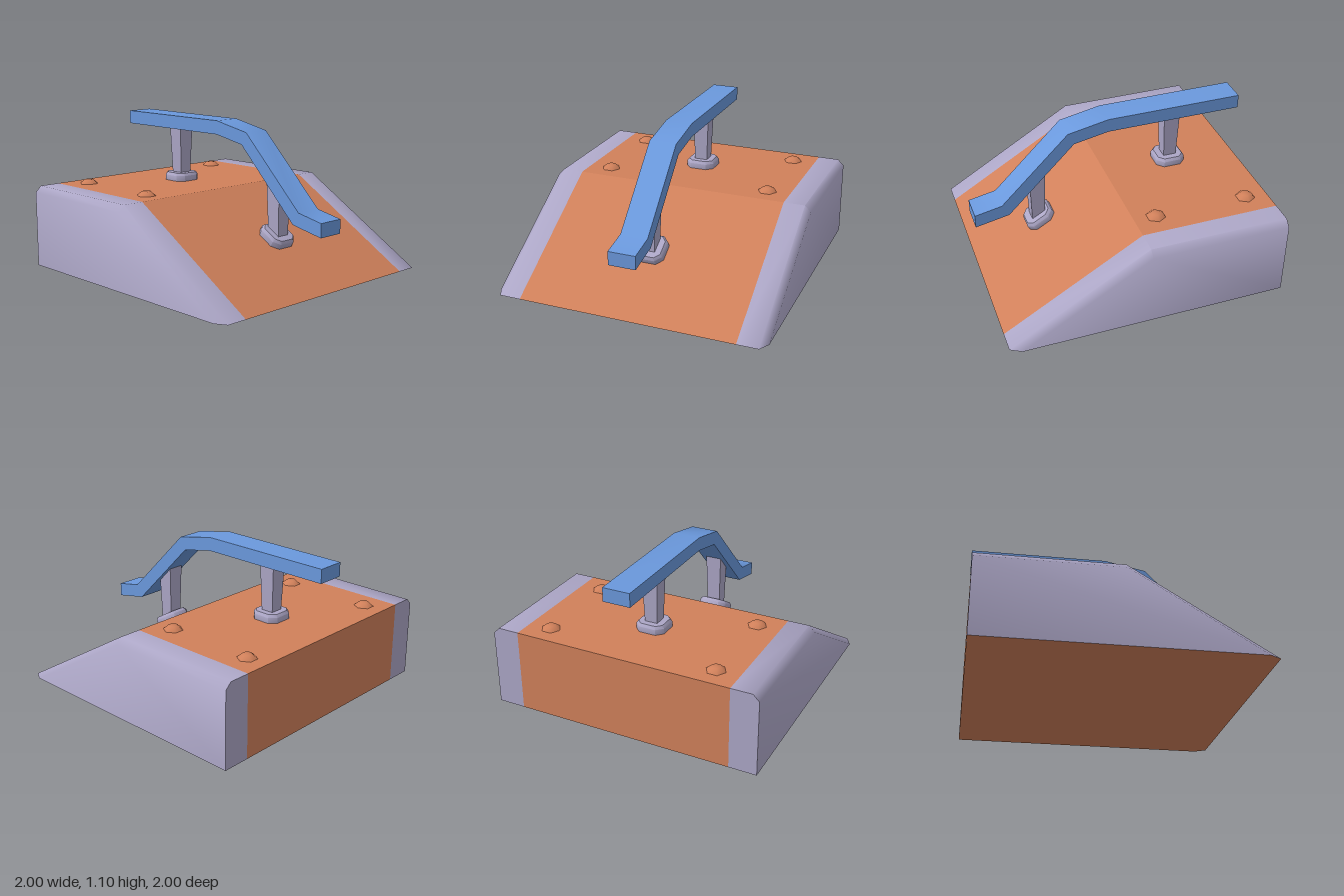
import * as THREE from 'three';
import { toCreasedNormals } from 'three/addons/utils/BufferGeometryUtils.js';

const orange = new THREE.MeshStandardMaterial({ color: 0xd0805a });
orange.name = 'orange';
const lilac = new THREE.MeshStandardMaterial({ color: 0xaca6c6 });
lilac.name = 'lilac grey';
const blue = new THREE.MeshStandardMaterial({ color: 0x6a98dc });
blue.name = 'rail blue';

function mesh(name, geometry, material) {
  const m = new THREE.Mesh(geometry, material);
  m.name = name;
  return m;
}

// Convex polygons, corners counter-clockwise from outside; flip mirrors them in x.
function polygons(list, flip = false) {
  const pos = [];
  for (const poly of list) {
    const p = flip ? poly.map(([x, y, z]) => [-x, y, z]).reverse() : poly;
    for (let i = 1; i < p.length - 1; i++) pos.push(...p[0], ...p[i], ...p[i + 1]);
  }
  const g = new THREE.BufferGeometry();
  g.setAttribute('position', new THREE.Float32BufferAttribute(pos, 3));
  g.computeVertexNormals();
  return g;
}

const H = 0.6;      // deck height
const P = 0.8;      // half width of the centre panel
const B = 0.955;    // inner edge of the side bevel
const HB = 0.555;   // lower edge of the side bevel
const ZB = 0.92;    // front end of the side wall

function createBase() {
  const base = new THREE.Group();
  base.name = 'rampBase';

  // Centre panel: deck, slope and back
  base.add(mesh('centrePanel', polygons([
    [[-P, H, 0], [P, H, 0], [P, H, -1], [-P, H, -1]],
    [[-P, 0, 1], [P, 0, 1], [P, H, 0], [-P, H, 0]],
    [[P, 0, -1], [-P, 0, -1], [-P, H, -1], [P, H, -1]],
  ]), orange));

  // Underside with clipped front corners
  base.add(mesh('underside', polygons([
    [[-1, 0, -1], [1, 0, -1], [1, 0, ZB], [B, 0, 1], [-B, 0, 1], [-1, 0, ZB]],
  ]), orange));

  // Side borders: top strips, back strip, then bevel and wall
  for (const s of [1, -1]) {
    const border = polygons([
      [[P, H, 0], [B, H, 0], [B, H, -1], [P, H, -1]],
      [[P, 0, 1], [B, 0, 1], [B, H, 0], [P, H, 0]],
      [[1, 0, -1], [P, 0, -1], [P, H, -1], [B, H, -1], [1, HB, -1]],
      [[B, H, 0], [1, HB, 0], [1, HB, -1], [B, H, -1]],
      [[B, 0, 1], [1, 0, ZB], [1, HB, 0], [B, H, 0]],
      [[1, 0, -1], [1, HB, -1], [1, HB, 0], [1, 0, ZB]],
    ], s < 0);
    base.add(mesh(s > 0 ? 'leftBorder' : 'rightBorder', toCreasedNormals(border, 0.87), lilac));
  }
  return base;
}

// Rail: side profile in (z, y), extruded across x
function createRail() {
  const profile = [
    [1, 0.5], [0.8, 0.54], [0.3, 1.04], [0, 1.1], [-1, 1.1],
    [-1, 1], [0, 1], [0.255, 0.95], [0.75, 0.45], [1, 0.4],
  ];
  const shape = new THREE.Shape(profile.map(([z, y]) => new THREE.Vector2(z, y)));
  const g = new THREE.ExtrudeGeometry(shape, { depth: 0.2, bevelEnabled: false });
  g.rotateY(-Math.PI / 2).translate(0.1, 0, 0);
  return mesh('rail', toCreasedNormals(g, 0.87), blue);
}

// Foot plate: clipped square with a bevelled rim, sunk slightly into the deck
function footGeometry() {
  const a = 0.093, c = 0.056;
  const corners = [[a, -c], [a, c], [c, a], [-c, a], [-a, c], [-a, -c], [-c, -a], [c, -a]];
  const shape = new THREE.Shape(corners.map(([x, y]) => new THREE.Vector2(x, y)));
  const g = new THREE.ExtrudeGeometry(shape, {
    depth: 0.05, bevelThickness: 0.02, bevelSize: 0.015, bevelSegments: 1,
  });
  g.rotateX(-Math.PI / 2).translate(0, -0.01, 0);
  return toCreasedNormals(g, 0.87);
}

// Square post, wider at the top
function createPost(name, z, bottom, top) {
  const g = new THREE.CylinderGeometry(0.06 * Math.SQRT2, 0.047 * Math.SQRT2, top - bottom, 4, 1, true);
  g.rotateY(Math.PI / 4).translate(0, (top + bottom) / 2, z);
  return mesh(name, toCreasedNormals(g, 0.5), lilac);
}

export function createModel() {
  const model = new THREE.Group();
  model.name = 'rampWithRail';
  model.add(createBase(), createRail());

  // Supports
  const foot = footGeometry();
  const backFoot = mesh('backFoot', foot, lilac);
  backFoot.position.set(0, H, -0.5);
  const frontFoot = mesh('frontFoot', foot, lilac);
  frontFoot.position.set(0, H / 2, 0.5);
  frontFoot.rotation.x = Math.atan(H);
  model.add(backFoot, frontFoot);
  model.add(createPost('backPost', -0.5, 0.64, 1.01));
  model.add(createPost('frontPost', 0.522, 0.29, 0.742));

  // Bolts on the deck
  const bolt = toCreasedNormals(
    new THREE.CylinderGeometry(0.035, 0.07, 0.03, 6).rotateY(Math.PI / 6), 1.1);
  for (const x of [-0.63, 0.63]) {
    for (const z of [-0.16, -0.84]) {
      const b = mesh('bolt', bolt, orange);
      b.position.set(x, H + 0.015, z);
      model.add(b);
    }
  }
  return model;
}
